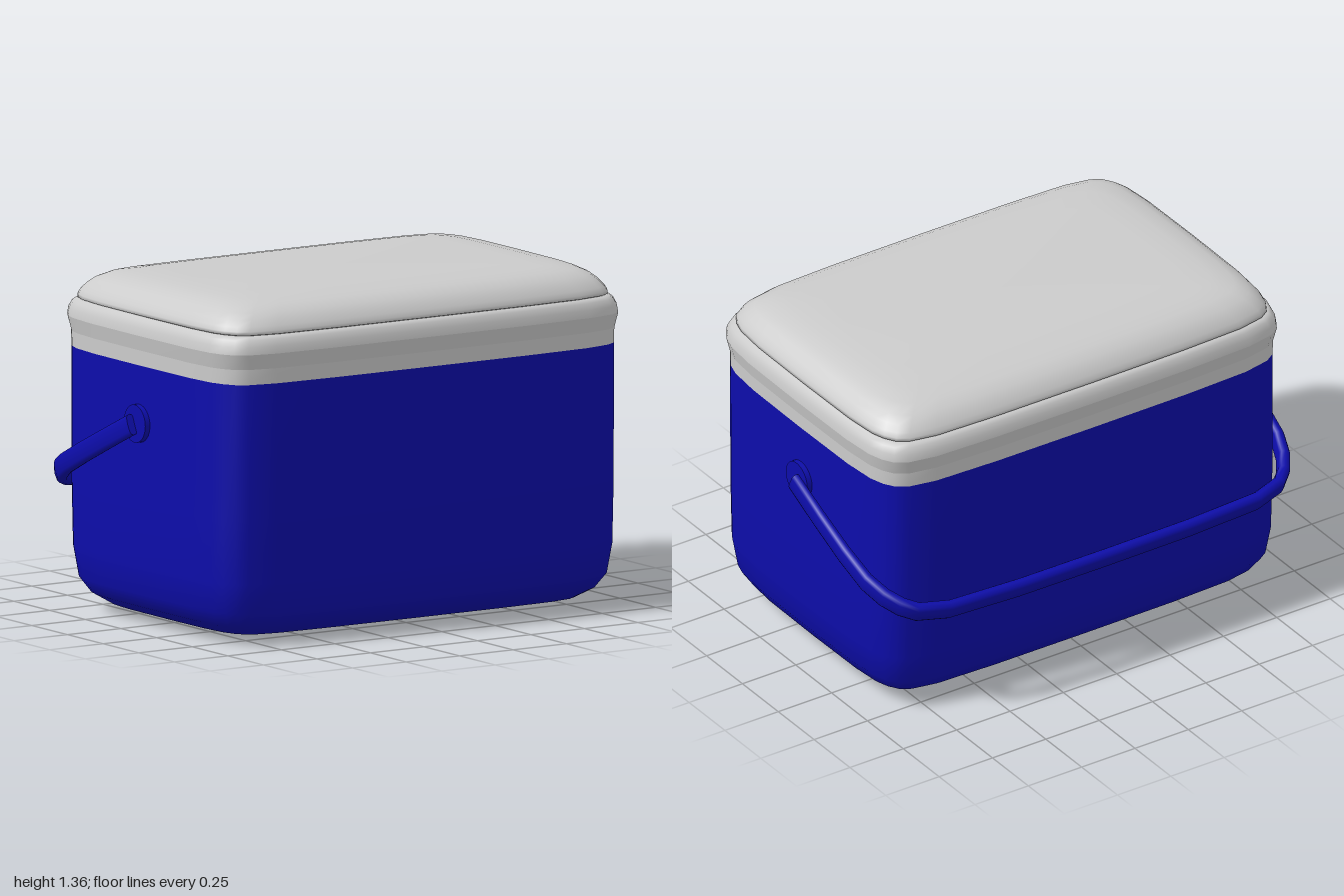
import * as THREE from 'three';

const blue = new THREE.MeshStandardMaterial({ color: 0x0d0dab });
const grey = new THREE.MeshStandardMaterial({ color: 0xcccccc });

const HX = 0.945, HZ = 0.64, ZC = 0.055; // half width, half depth, depth centre of the box

// Skin a list of equally sized closed rings of Vector3
function loft(rings) {
  const n = rings[0].length, index = [];
  for (let r = 0; r < rings.length - 1; r++) {
    for (let i = 0; i < n; i++) {
      const a = r * n + i, b = r * n + (i + 1) % n;
      index.push(a, a + n, b, b, a + n, b + n);
    }
  }
  const g = new THREE.BufferGeometry().setFromPoints(rings.flat());
  g.setIndex(index);
  g.computeVertexNormals();
  return g;
}

// Soft-cornered rectangle, one quadrant mirrored into four
const quadrant = [[HX, 0], [HX - 0.003, 0.33], [HX - 0.015, 0.47], [HX - 0.033, 0.53], [HX - 0.06, 0.575],
  [HX - 0.105, 0.605], [HX - 0.22, 0.628], [HX - 0.5, 0.638], [0, HZ]];
const outline = [];
for (const [sx, sz, flip] of [[1, 1, 0], [-1, 1, 1], [-1, -1, 0], [1, -1, 1]]) {
  const q = flip ? [...quadrant].reverse() : quadrant;
  for (const [x, z] of q.slice(0, -1)) outline.push([x * sx, z * sz]);
}

// Ring at height y, drawn in by d on every side (d = null closes to the centre)
function section([y, d]) {
  const kx = d === null ? 0 : 1 - d / HX, kz = d === null ? 0 : 1 - d / HZ;
  return outline.map(([x, z]) => new THREE.Vector3(x * kx, y, ZC + z * kz));
}

function mesh(parent, name, geometry, material) {
  const m = new THREE.Mesh(geometry, material);
  m.name = name;
  parent.add(m);
  return m;
}
const shell = (parent, name, profile, material) => mesh(parent, name, loft(profile.map(section)), material);

// Carrying bail, built in a flat plane and swept with a rounded section
function bailGeometry() {
  const half = [[0.98, 0], [0.979, -0.2], [0.975, -0.38], [0.963, -0.53], [0.935, -0.62],
    [0.895, -0.685], [0.845, -0.73], [0.72, -0.765], [0.4, -0.778]];
  const path = [...half, [0, -0.78], ...half.map(([x, z]) => [-x, z]).reverse()];
  const rings = path.map(([x, z], i) => {
    const p = path[Math.max(i - 1, 0)], q = path[Math.min(i + 1, path.length - 1)];
    const t = new THREE.Vector2(q[0] - p[0], q[1] - p[1]).normalize();
    const thick = 0.018 + 0.008 * Math.min(1, -z / 0.75);
    const ring = [];
    for (let k = 0; k < 12; k++) {
      const a = k / 12 * Math.PI * 2;
      const soft = (v) => Math.sign(v) * Math.pow(Math.abs(v), 0.7);
      const u = soft(Math.cos(a)) * thick, v = soft(Math.sin(a)) * 0.043;
      ring.push(new THREE.Vector3(x - t.y * u, v, z + t.x * u));
    }
    return ring;
  });
  // Flat ends, on their own rings so the edge stays crisp
  const cap = (ring) => {
    const c = ring.reduce((s, p) => s.add(p), new THREE.Vector3()).divideScalar(ring.length);
    return ring.map(() => c.clone());
  };
  const last = rings[rings.length - 1];
  return [loft(rings), loft([cap(rings[0]), rings[0]]), loft([last, cap(last)])];
}

export function createModel() {
  const model = new THREE.Group();
  model.name = 'coolBox';

  // Blue tub with a softly rounded base
  shell(model, 'body', [[0, null], [0.01, 0.29], [0.03, 0.12], [0.07, 0.06], [0.13, 0.022],
    [0.25, 0.005], [0.5, 0.001], [1.04, 0]], blue);

  // Grey rim: straight band, flared band, and shoulder down into the seam
  const rim = new THREE.Group();
  rim.name = 'rim';
  model.add(rim);
  shell(rim, 'rimBand', [[1.04, 0], [1.1, -0.001]], grey);
  shell(rim, 'rimFlare', [[1.1, -0.001], [1.16, -0.013]], grey);
  shell(rim, 'rimShoulder', [[1.16, -0.013], [1.19, -0.009], [1.215, 0.002], [1.226, 0.014], [1.228, 0.03]], grey);

  // Domed lid
  shell(model, 'lid', [[1.228, 0.03], [1.232, 0.018], [1.245, 0.02], [1.262, 0.029], [1.285, 0.047],
    [1.308, 0.073], [1.33, 0.118], [1.341, 0.19], [1.349, 0.3], [1.355, null]], grey);

  // Handle pivots on both sides
  for (const s of [1, -1]) {
    const hub = mesh(model, s > 0 ? 'leftPivot' : 'rightPivot', new THREE.CylinderGeometry(0.075, 0.075, 0.04, 32), blue);
    hub.rotation.z = Math.PI / 2;
    hub.position.set(s * 0.946, 0.812, 0.045);
  }

  // Bail swung down behind the box
  const handle = new THREE.Group();
  handle.name = 'handle';
  handle.position.set(0, 0.81, 0.045);
  handle.rotation.x = -0.43;
  model.add(handle);
  const names = ['bail', 'leftBailEnd', 'rightBailEnd'];
  const bailMaterial = blue.clone();
  bailMaterial.side = THREE.DoubleSide;
  bailGeometry().forEach((g, i) => mesh(handle, names[i], g, bailMaterial));

  return model;
}
